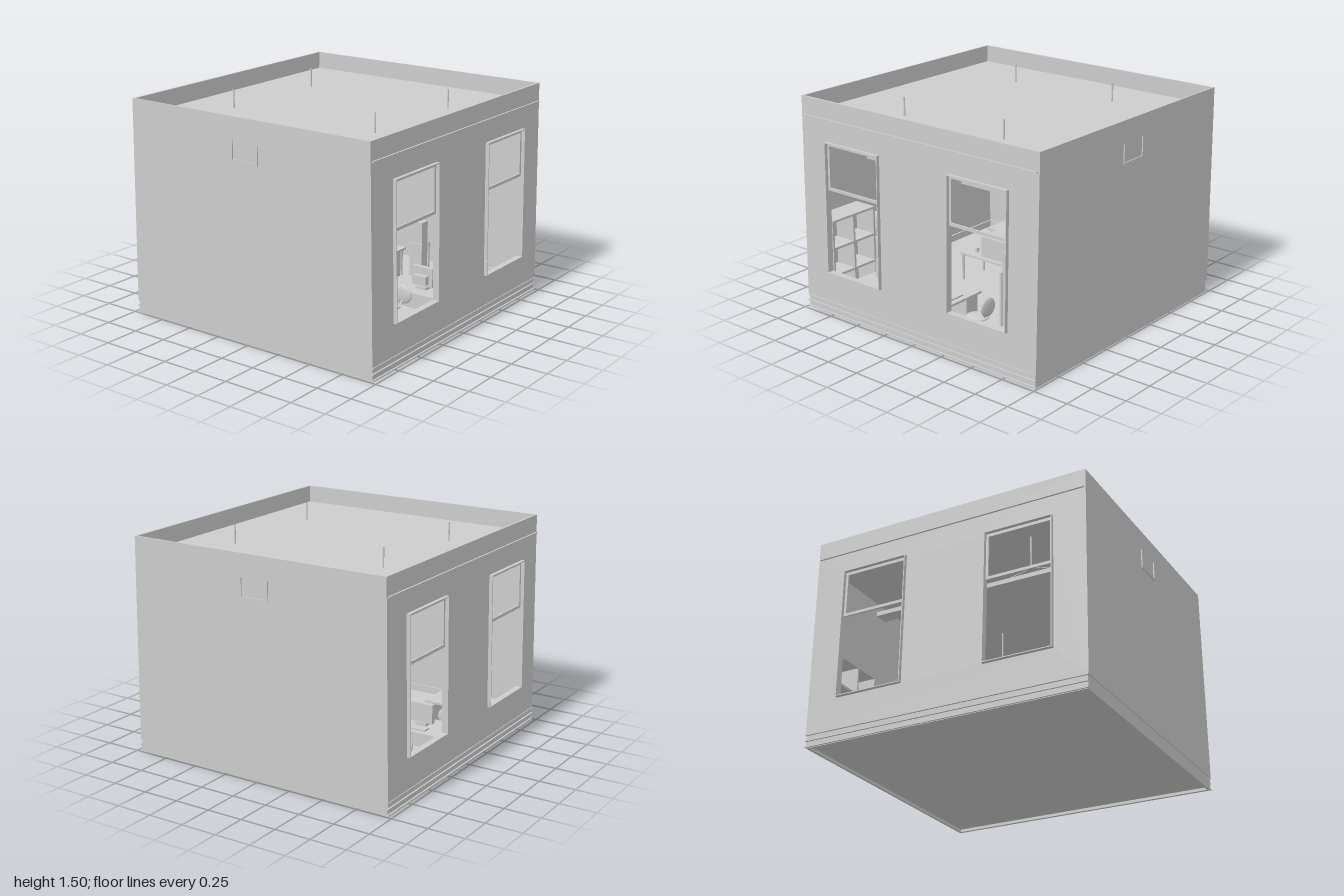
import * as THREE from 'three';

const grey = new THREE.MeshStandardMaterial({ color: 0xcccccc, side: THREE.DoubleSide });
grey.name = 'plain grey';

function add(parent, name, geometry, x = 0, y = 0, z = 0) {
  const m = new THREE.Mesh(geometry, grey);
  m.name = name;
  m.position.set(x, y, z);
  parent.add(m);
  return m;
}

// box given by its lower and upper bounds
function block(parent, name, x0, x1, y0, y1, z0, z1) {
  return add(parent, name, new THREE.BoxGeometry(x1 - x0, y1 - y0, z1 - z0),
    (x0 + x1) / 2, (y0 + y1) / 2, (z0 + z1) / 2);
}

function rod(parent, name, a, b, r = 0.004) {
  const p = new THREE.Vector3(...a), q = new THREE.Vector3(...b);
  const m = add(parent, name, new THREE.CylinderGeometry(r, r, p.distanceTo(q), 6));
  m.position.copy(p).add(q).multiplyScalar(0.5);
  m.quaternion.setFromUnitVectors(new THREE.Vector3(0, 1, 0), q.sub(p).normalize());
  return m;
}

function rect(path, x0, x1, y0, y1) {
  path.moveTo(x0, y0);
  path.lineTo(x1, y0);
  path.lineTo(x1, y1);
  path.lineTo(x0, y1);
  path.closePath();
  return path;
}

// rectangular ring with an even border
function ring(parent, name, x0, x1, y0, y1, border, z, depth) {
  const s = rect(new THREE.Shape(), x0, x1, y0, y1);
  s.holes.push(rect(new THREE.Path(), x0 + border, x1 - border, y0 + border, y1 - border));
  return add(parent, name, new THREE.ExtrudeGeometry(s, { depth, bevelEnabled: false }), 0, 0, z);
}

// wall with two windows, leaning slightly inwards
function windowWall() {
  const g = new THREE.Group();
  const lean = new THREE.Group();
  lean.position.set(0, 0.09, 0.97);
  lean.rotation.x = -0.018;
  g.add(lean);
  const s = rect(new THREE.Shape(), -0.99, 0.99, 0, 1.4);
  for (const c of [-0.53, 0.53]) {
    s.holes.push(rect(new THREE.Path(), c - 0.235, c + 0.235, 0.22, 1.12));
    ring(lean, 'windowFrame', c - 0.238, c + 0.238, 0.217, 1.127, 0.006, -0.02, 0.045);
    ring(lean, 'upperSash', c - 0.235, c + 0.235, 0.795, 1.12, 0.02, -0.012, 0.012);
  }
  add(lean, 'wallPanel', new THREE.ExtrudeGeometry(s, { depth: 0.015, bevelEnabled: false }), 0, 0, -0.015);
  block(lean, 'corniceStrip', -0.98, 0.98, 1.27, 1.28, 0, 0.012);
  // plinth and its ledges
  block(g, 'plinth', -0.985, 0.985, 0, 0.09, 0.945, 0.965);
  for (const y of [0.004, 0.045, 0.085]) block(g, 'plinthLedge', -0.99, 0.99, y, y + 0.008, 0.96, 0.976);
  return g;
}

function sideWall() {
  const g = new THREE.Group();
  const s = new THREE.Shape([[-0.97, 0.09], [0.97, 0.09], [0.945, 1.49], [-0.945, 1.49]]
    .map(p => new THREE.Vector2(...p)));
  const panel = add(g, 'wallPanel', new THREE.ExtrudeGeometry(s, { depth: 0.01, bevelEnabled: false }), 0.982, 0, 0);
  panel.rotation.y = Math.PI / 2;
  block(g, 'plinth', 0.97, 0.986, 0, 0.09, -0.965, 0.965);
  // U-shaped bracket
  for (const z of [-0.1, 0.1]) block(g, 'bracketArm', 0.985, 1, 1.21, 1.34, z - 0.006, z + 0.006);
  block(g, 'bracketBar', 0.985, 1, 1.205, 1.217, -0.106, 0.106);
  return g;
}

function lamp() {
  const g = new THREE.Group();
  rod(g, 'lampRod', [0, 1.12, 0], [0, 1.5, 0], 0.006);
  for (const s of [-1, 1]) rod(g, 'lampWire', [0, 1.12, 0], [s * 0.3, 1.06, 0], 0.003);
  block(g, 'lampBar', -0.31, 0.31, 1.03, 1.06, -0.05, 0.05);
  return g;
}

// desk used from its +x side
function desk(withScreen) {
  const g = new THREE.Group();
  block(g, 'deskTop', -0.14, 0.14, 0.235, 0.25, -0.22, 0.22);
  block(g, 'deskFrontPanel', -0.13, -0.115, 0.02, 0.235, -0.2, 0.2);
  block(g, 'deskSidePanel', -0.13, 0.12, 0.02, 0.235, 0.185, 0.2);
  block(g, 'deskDrawers', -0.1, 0.12, 0.04, 0.235, -0.2, -0.09);
  if (withScreen) {
    block(g, 'screen', -0.035, 0, 0.27, 0.4, -0.08, 0.08);
    block(g, 'screenBack', -0.07, -0.035, 0.29, 0.35, -0.05, 0.05);
    block(g, 'screenFoot', -0.05, 0.01, 0.25, 0.27, -0.04, 0.04);
    block(g, 'keyboard', 0.04, 0.1, 0.25, 0.26, -0.08, 0.08);
  }
  return g;
}

// swivel chair facing -x
function chair() {
  const g = new THREE.Group();
  for (let i = 0; i < 5; i++) {
    const a = i * Math.PI * 2 / 5;
    rod(g, 'chairFoot', [0, 0.06, 0], [0.09 * Math.cos(a), 0.045, 0.09 * Math.sin(a)], 0.008);
  }
  rod(g, 'chairPost', [0, 0.05, 0], [0, 0.14, 0], 0.01);
  add(g, 'chairSeat', new THREE.SphereGeometry(1, 16, 10), 0, 0.15, 0).scale.set(0.08, 0.015, 0.08);
  add(g, 'chairBack', new THREE.SphereGeometry(1, 16, 10), 0.09, 0.24, 0).scale.set(0.015, 0.065, 0.07);
  rod(g, 'chairBackStem', [0.05, 0.15, 0], [0.09, 0.21, 0], 0.008);
  return g;
}

// open shelf against the -x wall
function shelf() {
  const g = new THREE.Group();
  block(g, 'shelfBack', -0.975, -0.965, 0.04, 0.64, 0.5, 0.9);
  for (const z of [0.5, 0.693, 0.885]) block(g, 'shelfUpright', -0.975, -0.8, 0.04, 0.64, z, z + 0.015);
  for (const y of [0.04, 0.235, 0.43, 0.625]) block(g, 'shelfBoard', -0.975, -0.8, y, y + 0.015, 0.5, 0.9);
  return g;
}

function waterCooler() {
  const g = new THREE.Group();
  block(g, 'coolerBody', -0.06, 0.06, 0.04, 0.36, -0.06, 0.06);
  block(g, 'coolerTray', 0.06, 0.085, 0.22, 0.235, -0.04, 0.04);
  const profile = [[0, 0.36], [0.025, 0.36], [0.055, 0.39], [0.055, 0.45], [0.05, 0.455],
    [0.055, 0.46], [0.055, 0.52], [0.045, 0.535], [0, 0.535]].map(p => new THREE.Vector2(...p));
  add(g, 'coolerBottle', new THREE.LatheGeometry(profile, 16));
  return g;
}

// machine on a four-legged table
function copierTable() {
  const g = new THREE.Group();
  block(g, 'tableTop', -0.26, 0.16, 0.235, 0.25, -0.13, 0.13);
  for (const x of [-0.24, 0.14]) for (const z of [-0.11, 0.11]) rod(g, 'tableLeg', [x, 0.03, z], [x, 0.24, z], 0.01);
  block(g, 'copier', -0.08, 0.14, 0.25, 0.4, -0.11, 0.1);
  for (const z of [-0.06, 0.05]) add(g, 'cup', new THREE.CylinderGeometry(0.015, 0.012, 0.035, 10), -0.16, 0.267, z);
  return g;
}

export function createModel() {
  const model = new THREE.Group();
  model.name = 'officeRoom';
  const place = (g, name, x = 0, z = 0, turn = 0) => {
    g.name = name;
    g.position.set(x, 0, z);
    g.rotation.y = turn;
    model.add(g);
  };

  // shell
  place(windowWall(), 'frontWall');
  place(windowWall(), 'backWall', 0, 0, Math.PI);
  place(sideWall(), 'leftWall');
  place(sideWall(), 'rightWall', 0, 0, Math.PI);
  block(model, 'floor', -0.98, 0.98, 0.02, 0.04, -0.96, 0.96);
  block(model, 'roof', -0.985, 0.985, 1.355, 1.37, -0.94, 0.94);

  // hanging lamps
  for (const x of [-0.42, 0.42]) for (const z of [-0.575, 0.575]) place(lamp(), 'lamp', x, z);

  // desks with chairs
  for (const [x, z] of [[0.11, -0.69], [-0.46, -0.69], [0, 0.69], [-0.5, 0.69]]) {
    place(desk(true), 'desk', x, z);
    place(chair(), 'chair', x + 0.24, z - 0.06);
  }
  place(desk(false), 'sideDesk', 0.47, -0.09, Math.PI);
  place(chair(), 'chair', 0.23, -0.09, Math.PI);

  // storage and equipment
  place(shelf(), 'rightShelf');
  place(shelf(), 'leftShelf', 0, 0, Math.PI);
  place(waterCooler(), 'waterCooler', -0.89, 0.36);
  place(copierTable(), 'copierTable', -0.18, -0.1);
  block(model, 'tallCabinet', 0.31, 0.38, 0.04, 0.57, 0.38, 0.46);
  for (const x of [0.295, 0.38]) block(model, 'cabinetSide', x, x + 0.015, 0.04, 0.42, 0.37, 0.47);
  return model;
}
